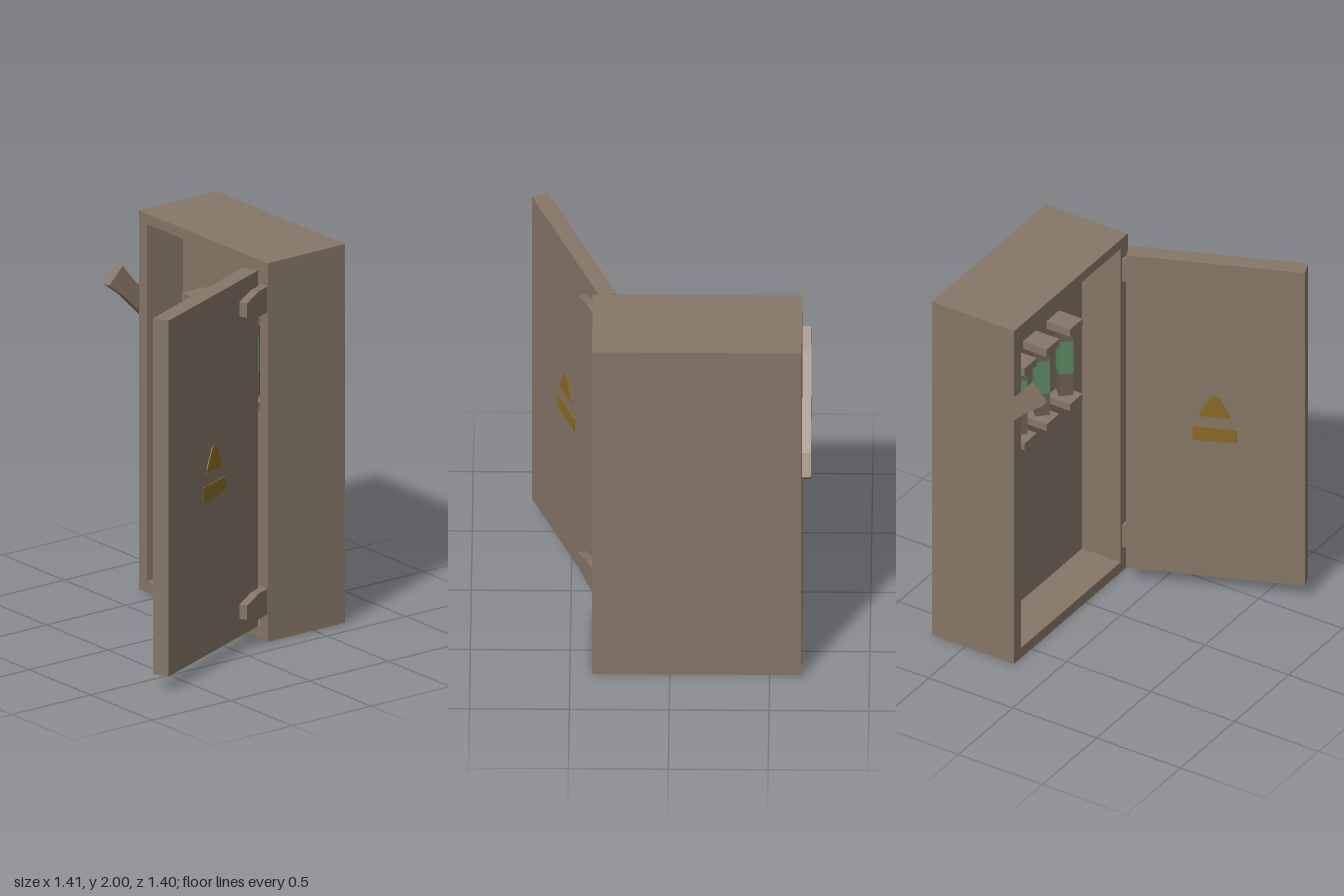
import * as THREE from 'three';

const mat = (name, color) => {
  const m = new THREE.MeshStandardMaterial({ color });
  m.name = name;
  return m;
};

export function createModel() {
  const metal = mat('brown metal', 0x857667);
  const tubeDark = mat('dark tube', 0x6b5f52);
  const green = mat('green glass', 0x5c8862);
  const amber = mat('amber paint', 0x8a6a26);

  const root = new THREE.Group();
  root.name = 'electricalCabinet';

  const add = (parent, name, geo, material, x = 0, y = 0, z = 0) => {
    const mesh = new THREE.Mesh(geo, material);
    mesh.name = name;
    mesh.position.set(x, y, z);
    parent.add(mesh);
    return mesh;
  };
  const box = (w, h, d) => new THREE.BoxGeometry(w, h, d);
  const outline = (pts) => new THREE.Shape(pts.map(([a, b]) => new THREE.Vector2(a, b)));

  // Plate with a (z, y) outline, spanning x0..x1
  const sidePlate = (pts, x0, x1) =>
    new THREE.ExtrudeGeometry(outline(pts), { depth: x1 - x0, bevelEnabled: false })
      .rotateY(-Math.PI / 2)
      .translate(x1, 0, 0);

  // Cabinet: solid rear plus a hollow front frame
  const cabinet = new THREE.Group();
  cabinet.name = 'cabinet';
  root.add(cabinet);
  add(cabinet, 'cabinetBack', box(1.05, 2, 0.26), metal, -0.135, 1, -0.57);
  const frame = outline([[-0.66, 0], [0.39, 0], [0.39, 2], [-0.66, 2]]);
  frame.holes.push(new THREE.Path(
    [[-0.595, 0.06], [-0.595, 1.945], [0.325, 1.945], [0.325, 0.06]].map(([a, b]) => new THREE.Vector2(a, b))
  ));
  add(cabinet, 'cabinetFrame',
    new THREE.ExtrudeGeometry(frame, { depth: 0.23, bevelEnabled: false }), metal, 0, 0, -0.44);

  // Three fuses: four-sided tubes between mounting blocks
  const tubeParts = [
    ['tubeBottom', 1.18, 1.31, tubeDark],
    ['tubeGlass', 1.31, 1.505, green],
    ['tubeTop', 1.505, 1.566, tubeDark],
  ];
  for (const x of [-0.368, -0.161, 0.055]) {
    const fuse = new THREE.Group();
    fuse.name = 'fuse';
    fuse.position.set(x, 0, -0.37);
    root.add(fuse);
    add(fuse, 'upperMount', box(0.116, 0.045, 0.14), metal, 0, 1.5875, 0);
    add(fuse, 'lowerMount', box(0.116, 0.04, 0.14), metal, 0, 1.14, 0);
    for (const [name, y0, y1, m] of tubeParts) {
      const geo = new THREE.CylinderGeometry(0.053, 0.053, y1 - y0, 4).toNonIndexed();
      geo.computeVertexNormals();
      add(fuse, name, geo, m, 0, (y0 + y1) / 2, 0);
    }
  }

  // Open door, turned about the vertical axis
  const door = new THREE.Group();
  door.name = 'door';
  door.position.set(0.487, 0, 0.26);
  door.rotation.y = Math.PI / 8;
  root.add(door);
  add(door, 'doorPanel', box(0.088, 1.88, 0.91), metal, 0, 1.02, 0);

  // Tapered hinge straps joining door and cabinet
  for (const y of [0.2125, 1.81]) {
    const strap = [[-0.53, -0.068], [-0.383, -0.068], [-0.265, -0.038],
      [-0.265, 0.038], [-0.383, 0.068], [-0.53, 0.068]];
    add(door, 'hinge', sidePlate(strap, 0.04, 0.088), metal, 0, y, 0);
  }

  // Painted warning mark on both faces of the door
  const triangle = [[-0.078, 1.04], [0.078, 1.04], [0.074, 1.065], [0.02, 1.16],
    [0, 1.172], [-0.02, 1.16], [-0.074, 1.065]];
  const bar = [[-0.105, 0.895], [0.105, 0.895], [0.111, 0.905], [0.111, 0.975],
    [-0.111, 0.975], [-0.111, 0.905]];
  for (const x of [0.046, -0.046]) {
    add(door, 'warningTriangle', sidePlate(triangle, x - 0.003, x + 0.003), amber, 0, 0, -0.005);
    add(door, 'warningBar', sidePlate(bar, x - 0.003, x + 0.003), amber, 0, 0, -0.005);
  }

  // Side lever: a shaft at 45 degrees, flared at the grip and tapered at the pivot
  const half = [[0, 0.062], [-0.122, 0.048], [-0.64, 0.05], [-0.76, 0.025]];
  const leverPts = [...half, ...half.map(([s, w]) => [s, -w]).reverse()];
  const lever = add(root, 'lever', sidePlate(leverPts, -0.705, -0.655), metal, 0, 1.687, -0.06);
  lever.rotation.x = -Math.PI / 4;

  return root;
}
